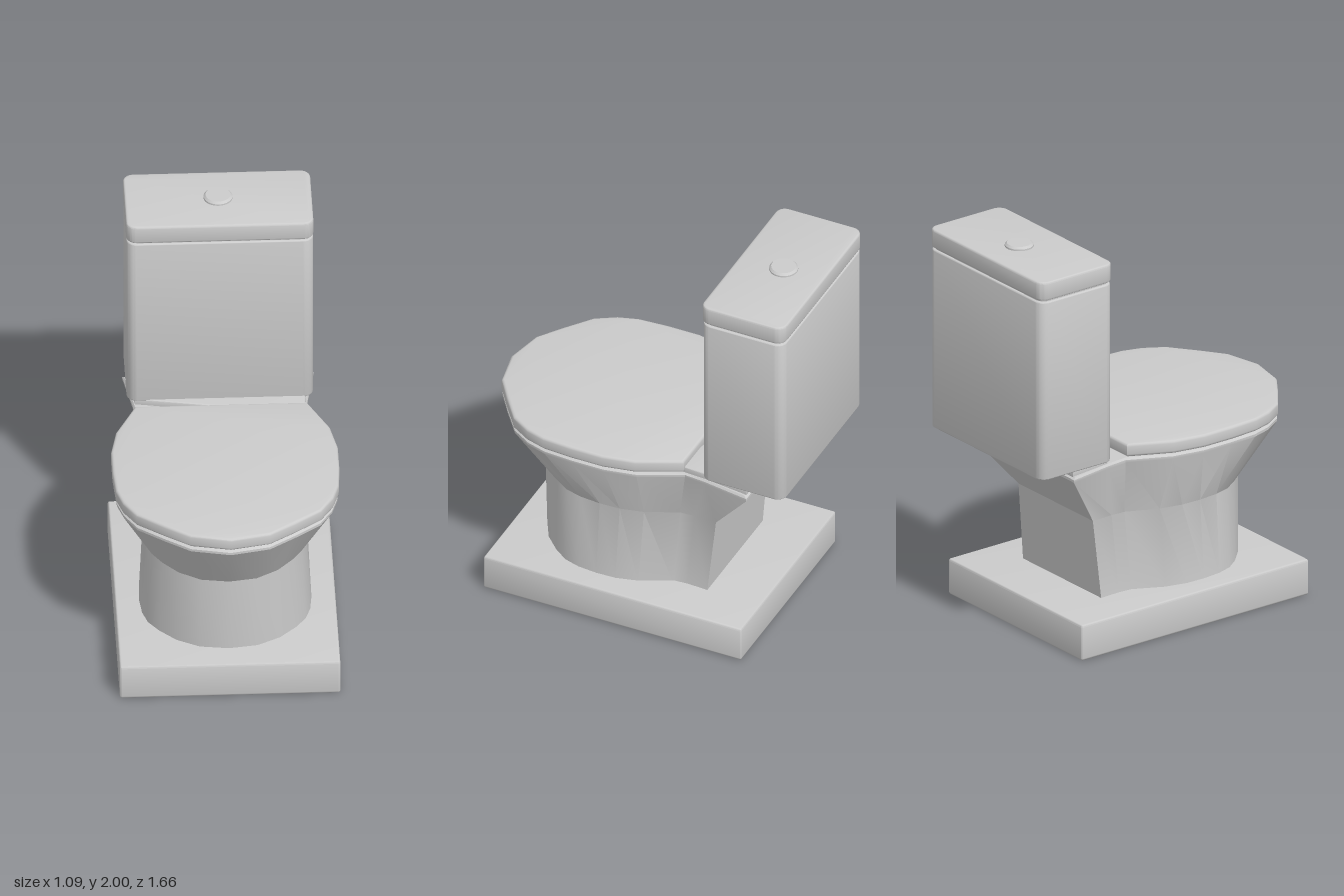
import * as THREE from 'three';
import { toCreasedNormals } from 'three/addons/utils/BufferGeometryUtils.js';

const material = new THREE.MeshStandardMaterial({ color: 0xcccccc });

// Half outlines [x, z], running from the rear corner to the front tip
const rimHalf = [[0.46, -0.64], [0.42, -0.4], [0.41, -0.29], [0.51, -0.08], [0.54, 0.08], [0.54, 0.25],
  [0.53, 0.4], [0.5, 0.5], [0.44, 0.6], [0.31, 0.7], [0.19, 0.785], [0, 0.825]];
const footHalf = [[0.31, -0.36], [0.305, -0.25], [0.31, -0.18], [0.385, -0.03], [0.412, 0.08], [0.415, 0.18],
  [0.405, 0.28], [0.38, 0.36], [0.33, 0.43], [0.25, 0.51], [0.14, 0.57], [0, 0.59]];

// Mirror a half outline into a closed ring
const mirror = (half) => [...half, ...half.slice(0, -1).reverse().map(([x, z]) => [-x, z])];

function addMesh(group, name, geometry, crease = 0.6) {
  const mesh = new THREE.Mesh(toCreasedNormals(geometry, crease), material);
  mesh.name = name;
  group.add(mesh);
  return mesh;
}

// Skin a stack of rings { y, points } from bottom to top and close the top
function loft(rings) {
  const pos = [];
  const put = (ring, i) => pos.push(ring.points[i][0], ring.y, ring.points[i][1]);
  const n = rings[0].points.length;
  for (let r = 0; r < rings.length - 1; r++) {
    const lo = rings[r], up = rings[r + 1];
    for (let i = 0; i < n; i++) {
      const j = (i + 1) % n;
      put(lo, i); put(up, i); put(up, j);
      put(lo, i); put(up, j); put(lo, j);
    }
  }
  const top = rings[rings.length - 1];
  for (let i = 0; i < n; i++) {
    pos.push(0, top.y, 0.1);
    put(top, (i + 1) % n);
    put(top, i);
  }
  const geometry = new THREE.BufferGeometry();
  geometry.setAttribute('position', new THREE.Float32BufferAttribute(pos, 3));
  return geometry;
}

// Horizontal slab with softened edges from a shape drawn as (x, -z)
function slab(shape, y0, y1, bevel) {
  const geometry = new THREE.ExtrudeGeometry(shape, {
    depth: y1 - y0 - 2 * bevel, bevelEnabled: true, bevelThickness: bevel,
    bevelSize: bevel, bevelOffset: -bevel, bevelSegments: 3, curveSegments: 6,
  });
  geometry.rotateX(-Math.PI / 2);
  geometry.translate(0, y0 + bevel, 0);
  return geometry;
}

const outlineShape = (points) => new THREE.Shape(points.map(([x, z]) => new THREE.Vector2(x, -z)));

function roundedRect(halfWidth, zBack, zFront, r) {
  const s = new THREE.Shape();
  const x = halfWidth, y0 = -zFront, y1 = -zBack;
  s.moveTo(-x + r, y0);
  s.lineTo(x - r, y0);
  s.absarc(x - r, y0 + r, r, -Math.PI / 2, 0);
  s.absarc(x - r, y1 - r, r, 0, Math.PI / 2);
  s.absarc(-x + r, y1 - r, r, Math.PI / 2, Math.PI);
  s.absarc(-x + r, y0 + r, r, Math.PI, Math.PI * 1.5);
  return s;
}

export function createModel() {
  const group = new THREE.Group();
  group.name = 'toilet';

  // Plinth
  addMesh(group, 'plinth', slab(roundedRect(0.53, -0.645, 0.725, 0.01), 0, 0.185, 0.012));

  // Pedestal and bowl, pinched at the waist
  const waistHalf = footHalf.map(([x, z]) => [x * 0.95, (z + 0.36) * (1.005 / 0.95) - 0.4]);
  const inset = (k) => rimHalf.map(([x, z]) => [x * k, 0.1 + (z - 0.1) * k]);
  addMesh(group, 'bowl', loft([
    { y: 0.17, points: mirror(footHalf) },
    { y: 0.59, points: mirror(waistHalf) },
    { y: 0.905, points: mirror(rimHalf) },
    { y: 0.918, points: mirror(rimHalf) },
    { y: 0.928, points: mirror(inset(0.98)) },
  ]), 0.5);

  // Shelf joining the bowl to the cistern
  addMesh(group, 'cisternShelf', slab(outlineShape(mirror([[0.44, -0.63], [0.41, -0.4], [0.4, -0.25]])), 0.915, 0.96, 0.006));

  // Closed lid
  addMesh(group, 'seatLid', slab(outlineShape(mirror(rimHalf.slice(2).map(([x, z]) => [x * 1.01, z + 0.004]))), 0.933, 1, 0.014));

  // Cistern with its cover and flush button
  addMesh(group, 'cistern', slab(roundedRect(0.448, -0.828, -0.39, 0.05), 0.953, 1.878, 0.006));
  addMesh(group, 'cisternNeck', slab(roundedRect(0.435, -0.815, -0.403, 0.045), 1.87, 1.895, 0.002));
  addMesh(group, 'cisternCover', slab(roundedRect(0.45, -0.83, -0.386, 0.05), 1.887, 1.982, 0.01));
  const button = [[0, 1.975], [0.07, 1.975], [0.07, 1.99], [0.06, 2], [0, 2]];
  addMesh(group, 'flushButton', new THREE.LatheGeometry(button.map(([x, y]) => new THREE.Vector2(x, y)), 32))
    .position.z = -0.62;

  return group;
}
